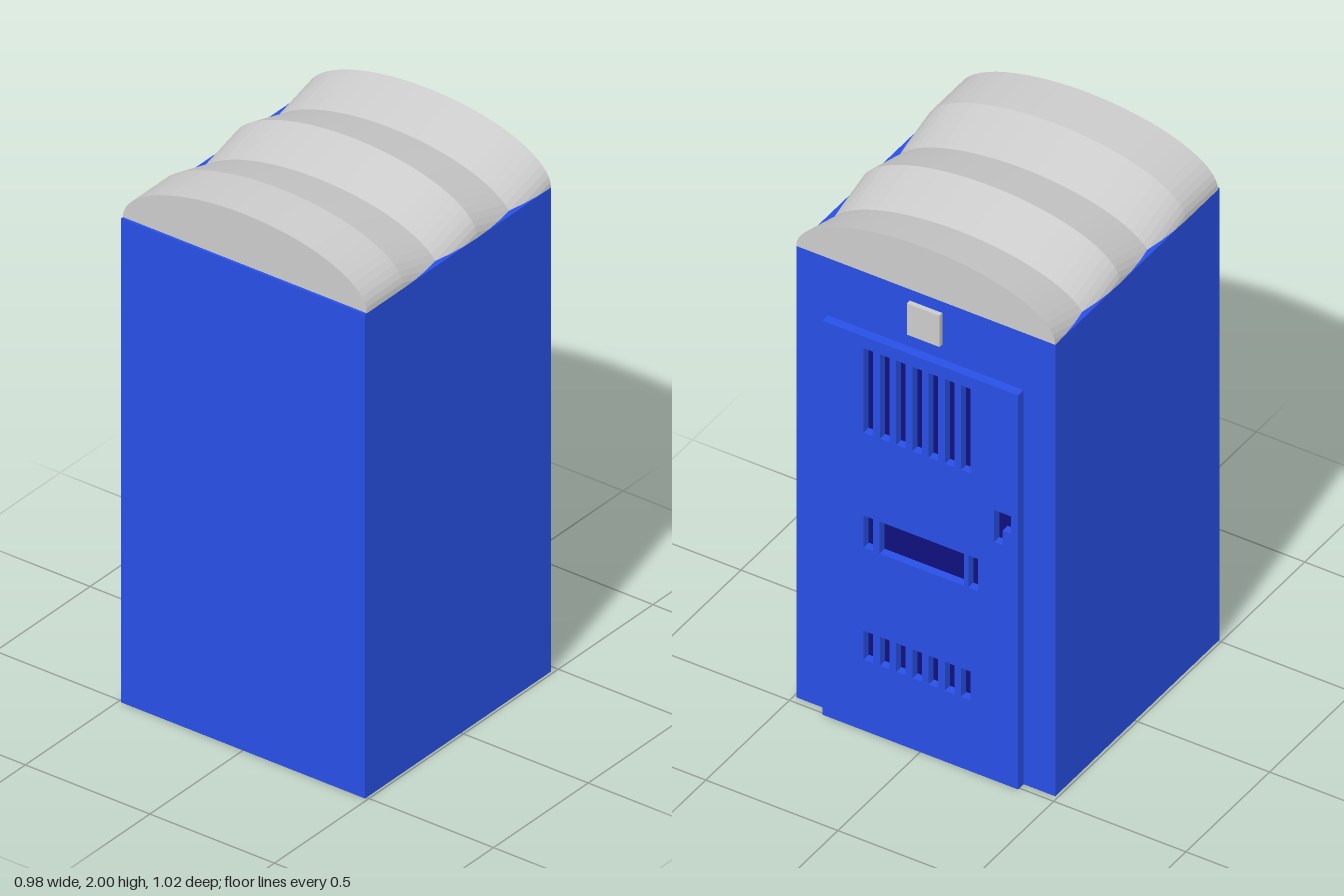
import * as THREE from 'three';

const BLUE = 0x2850e6, DARK = 0x0f0f7d, GREY = 0xcccccc;
const BACK = -0.475; // plane of the cabin wall that carries the door

function part(name, geometry, color, flatShading = false) {
  const mesh = new THREE.Mesh(geometry, new THREE.MeshStandardMaterial({ color, flatShading }));
  mesh.name = name;
  return mesh;
}

// Box given by its limits on each axis
function box(name, color, [x0, x1], [y0, y1], [z0, z1]) {
  const mesh = part(name, new THREE.BoxGeometry(x1 - x0, y1 - y0, z1 - z0), color);
  mesh.position.set((x0 + x1) / 2, (y0 + y1) / 2, (z0 + z1) / 2);
  return mesh;
}

const outline = (points) => points.map(([x, y]) => new THREE.Vector2(x, y));
const rect = (x0, x1, y0, y1) => outline([[x0, y0], [x1, y0], [x1, y1], [x0, y1]]);

// Door panel with vents, window and latch cut through it
function doorGeometry() {
  const shape = new THREE.Shape(rect(-0.37, 0.37, 0, 1.58));
  const cut = (points) => shape.holes.push(new THREE.Path(points));
  for (let i = 0; i < 7; i++) {
    const x = 0.196 - i * 0.0615;
    cut(rect(x - 0.018, x + 0.018, 1.195, 1.533)); // upper vent
    cut(rect(x - 0.018, x + 0.018, 0.285, 0.4)); // lower vent
  }
  cut(rect(0.178, 0.214, 0.734, 0.862));
  cut(rect(-0.166, 0.154, 0.734, 0.862));
  cut(rect(-0.218, -0.182, 0.734, 0.862));
  cut(outline([[-0.28, 0.957], [-0.28, 1.084], [-0.344, 1.084], [-0.344, 1.015], [-0.312, 1.015], [-0.312, 0.957]]));
  return new THREE.ExtrudeGeometry(shape, { depth: 0.033, bevelEnabled: false });
}

// Half-ellipse vault, with alternate cross-sections lowered into valleys
function roofGeometry() {
  const points = [];
  for (let i = 0; i <= 32; i++) {
    const a = (i / 32) * Math.PI;
    points.push([0.49 * Math.cos(a), 1.81 + 0.19 * Math.sin(a)]);
  }
  const steps = 5, depth = 0.973;
  const geometry = new THREE.ExtrudeGeometry(new THREE.Shape(outline(points)), { depth, steps, bevelEnabled: false });
  const pos = geometry.attributes.position;
  for (let i = 0; i < pos.count; i++) {
    const station = Math.round((pos.getZ(i) / depth) * steps);
    if (station === 1 || station === 3) pos.setY(i, pos.getY(i) - 0.055);
  }
  geometry.computeVertexNormals();
  return geometry;
}

export function createModel() {
  const model = new THREE.Group();
  model.name = 'portableCabin';

  model.add(box('cabin', BLUE, [-0.49, 0.49], [0, 1.81], [BACK, 0.508]));

  const roof = part('roof', roofGeometry(), GREY, true);
  roof.position.z = BACK;
  model.add(roof);

  const door = part('door', doorGeometry(), BLUE);
  door.position.z = BACK - 0.033;
  model.add(door);

  // Dark backing seen through the openings
  model.add(box('doorBacking', DARK, [-0.36, 0.36], [0.1, 1.56], [BACK - 0.003, BACK + 0.01]));

  // Plain plate above the door
  model.add(box('signPlate', GREY, [-0.063, 0.06], [1.64, 1.765], [BACK - 0.018, BACK + 0.01]));

  return model;
}
